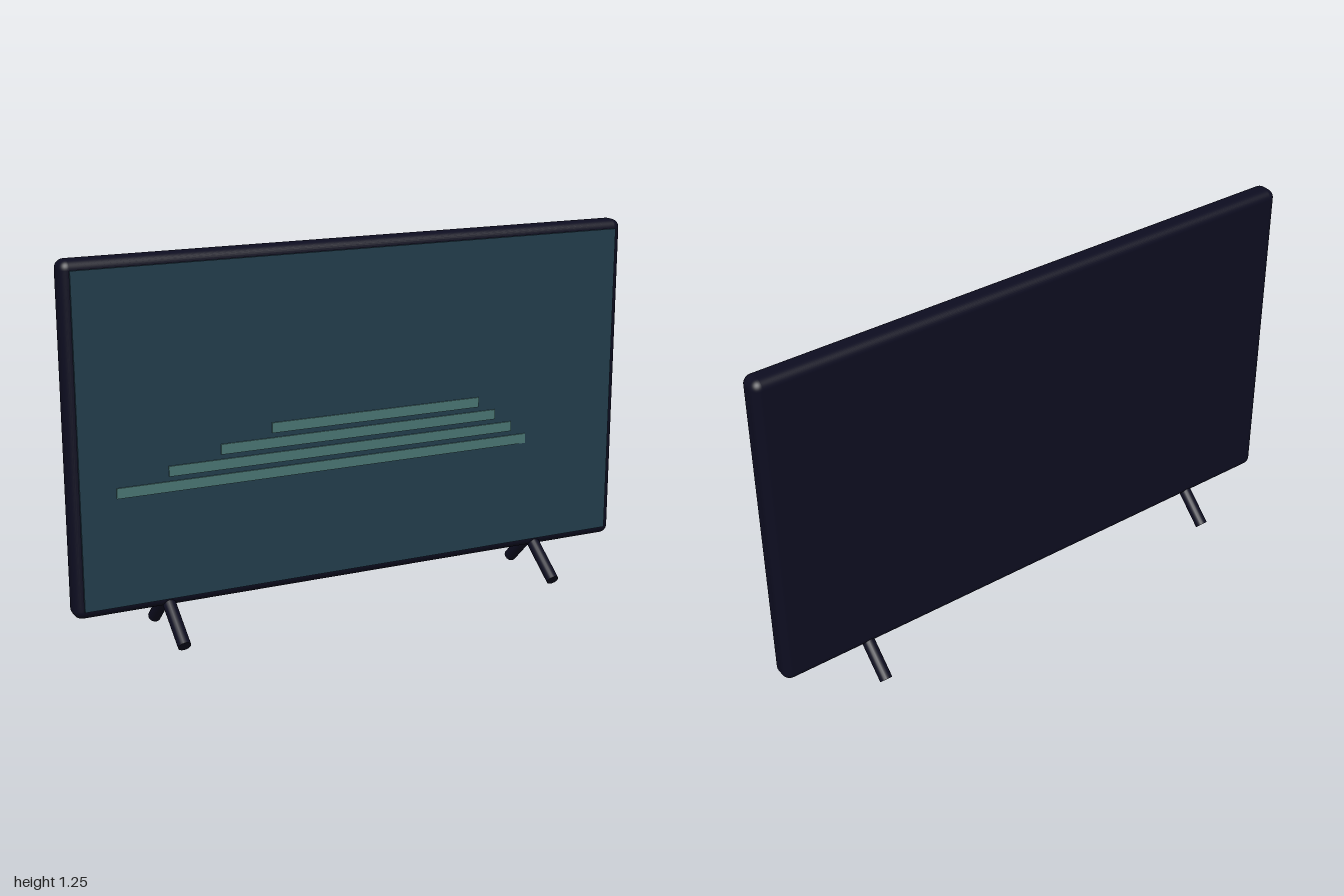
import * as THREE from 'three';
import { RoundedBoxGeometry } from 'three/addons/geometries/RoundedBoxGeometry.js';

const material = (name, color) => {
  const m = new THREE.MeshStandardMaterial({ color });
  m.name = name;
  return m;
};

export function createModel() {
  const casing = material('dark navy casing', 0x0d0d20);
  const glass = material('blue grey screen', 0x223d4c);
  const glow = material('pale teal stripe', 0x4a7573);

  const model = new THREE.Group();
  model.name = 'television';
  const add = (name, geometry, mat, x, y, z, parent = model) => {
    const mesh = new THREE.Mesh(geometry, mat);
    mesh.name = name;
    mesh.position.set(x, y, z);
    parent.add(mesh);
    return mesh;
  };

  // Rounded casing and the screen panel standing just proud of it
  add('casing', new RoundedBoxGeometry(2, 1.146, 0.083, 5, 0.03), casing, 0, 0.682, -0.016);
  add('screen', new THREE.BoxGeometry(1.94, 1.086, 0.02), glass, 0, 0.682, 0.0225);

  // Stepped stripes shown on the screen: left end, right end, height
  const stripes = [
    [-0.327, 0.436, 0.666],
    [-0.503, 0.501, 0.616],
    [-0.68, 0.566, 0.566],
    [-0.853, 0.624, 0.516],
  ];
  stripes.forEach(([x0, x1, y], i) => {
    add(`screenStripe${i + 1}`, new THREE.BoxGeometry(x1 - x0, 0.034, 0.005), glow, (x0 + x1) / 2, y, 0.0345);
  });

  // Splayed round legs, a front and a back one on each side
  const up = new THREE.Vector3(0, 1, 0);
  const addLeg = (name, top, foot, parent) => {
    const axis = top.clone().sub(foot);
    const mid = top.clone().add(foot).multiplyScalar(0.5);
    const leg = add(name, new THREE.CylinderGeometry(0.0215, 0.0215, axis.length(), 20), casing, mid.x, mid.y, mid.z, parent);
    leg.quaternion.setFromUnitVectors(up, axis.normalize());
  };
  for (const side of [-1, 1]) {
    const stand = new THREE.Group();
    stand.name = side > 0 ? 'leftStand' : 'rightStand';
    model.add(stand);
    const x = side * 0.685;
    addLeg('frontLeg', new THREE.Vector3(x, 0.127, -0.004), new THREE.Vector3(x, 0.018, 0.148), stand);
    addLeg('backLeg', new THREE.Vector3(x, 0.127, -0.028), new THREE.Vector3(x, 0.018, -0.143), stand);
  }

  return model;
}
